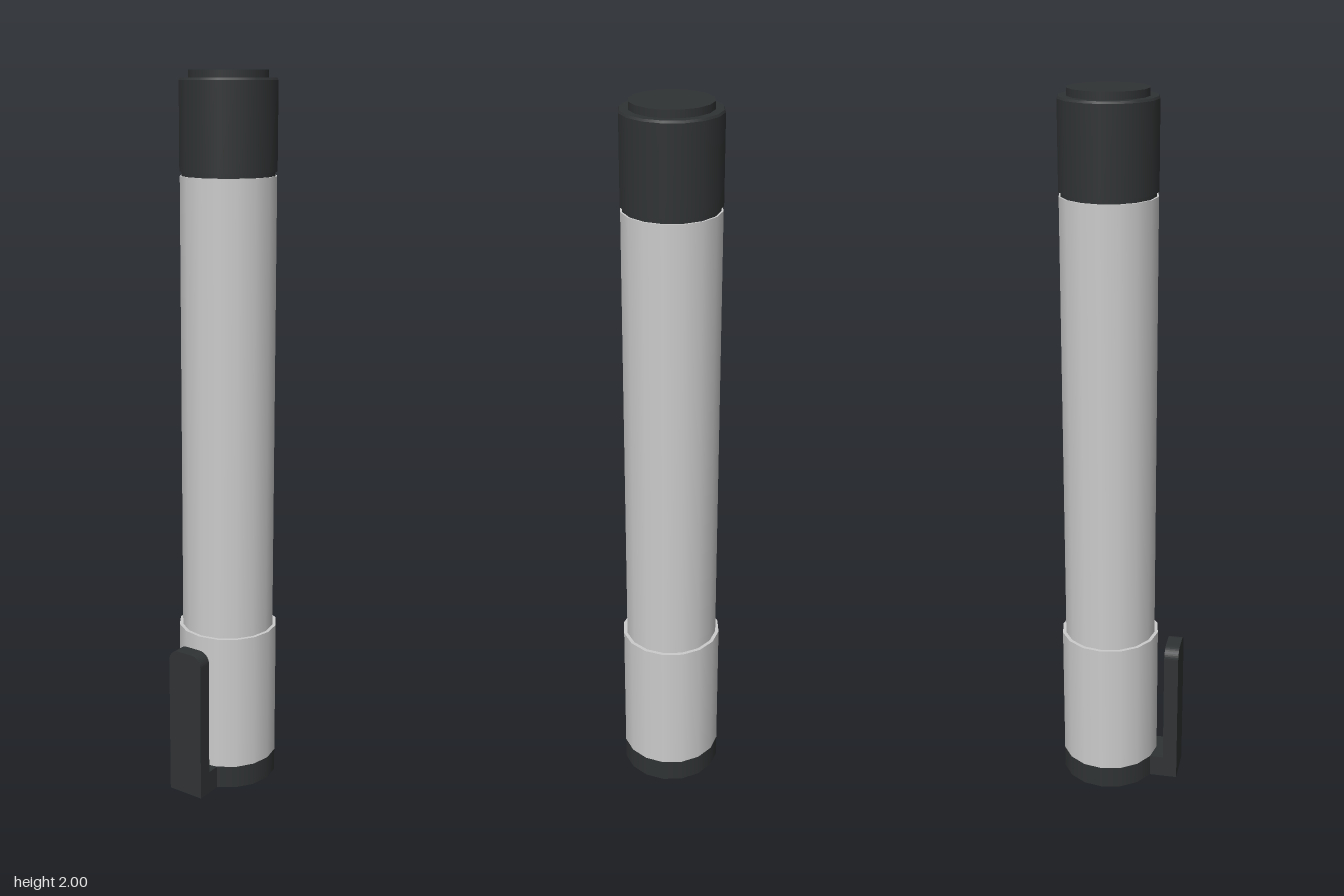
import * as THREE from 'three';

const SIDES = 16;
const AXIS_Z = -0.035;

export function createModel() {
  const group = new THREE.Group();
  const grey = new THREE.MeshStandardMaterial({ color: 0xcccccc });
  const dark = new THREE.MeshStandardMaterial({ color: 0x303334 });

  const add = (name, geometry, material) => {
    const mesh = new THREE.Mesh(geometry, material);
    mesh.name = name;
    group.add(mesh);
    return mesh;
  };

  // Upright round section between two heights
  const section = (name, y0, y1, rBottom, rTop, material) => {
    const geo = new THREE.CylinderGeometry(rTop, rBottom, y1 - y0, SIDES);
    add(name, geo, material).position.set(0, (y0 + y1) / 2, AXIS_Z);
  };

  // Body, from the base upwards
  section('baseRing', 0, 0.065, 0.141, 0.141, dark);
  section('lowerSleeve', 0.065, 0.46, 0.141, 0.141, grey);
  section('barrel', 0.46, 1.73, 0.131, 0.131, grey);
  section('capGroove', 1.73, 1.742, 0.126, 0.126, dark);
  section('cap', 1.742, 1.974, 0.132, 0.132, dark);
  section('capBevel', 1.974, 1.98, 0.132, 0.129, dark);
  section('capButton', 1.98, 2, 0.107, 0.107, dark);

  // Clip plate with rounded upper corners
  const w = 0.054, h = 0.433, r = 0.032;
  const outline = new THREE.Shape();
  outline.moveTo(-w, 0);
  outline.lineTo(w, 0);
  outline.lineTo(w, h - r);
  outline.absarc(w - r, h - r, r, 0, Math.PI / 2);
  outline.absarc(-w + r, h - r, r, Math.PI / 2, Math.PI);
  outline.closePath();
  const plate = new THREE.ExtrudeGeometry(outline, { depth: 0.041, bevelEnabled: false, curveSegments: 5 });
  add('clipPlate', plate, dark).position.z = 0.134;

  // Foot joining the clip to the base ring
  const foot = new THREE.BoxGeometry(w * 2, 0.065, 0.084);
  add('clipFoot', foot, dark).position.set(0, 0.0325, 0.092);

  return group;
}
